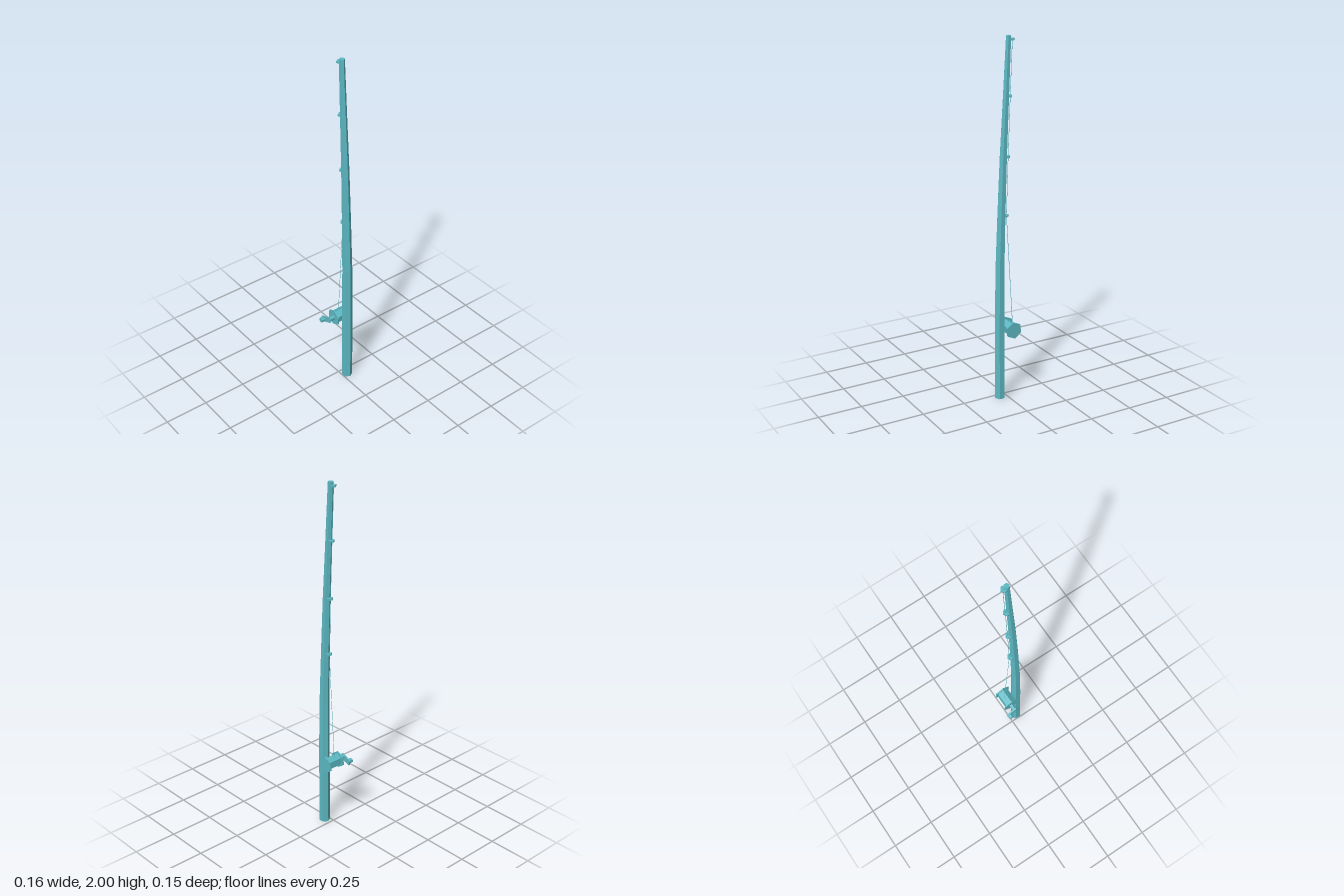
import * as THREE from 'three';

const X = 0.029; // rod centre line

export function createModel() {
  const model = new THREE.Group();
  const material = new THREE.MeshStandardMaterial({ color: 0x5cb8c2, flatShading: true });

  const add = (name, geometry, x = 0, y = 0, z = 0, parent = model) => {
    const mesh = new THREE.Mesh(geometry, material);
    mesh.name = name;
    mesh.position.set(x, y, z);
    parent.add(mesh);
    return mesh;
  };

  // Rod: six-sided tapering pole, bending backwards. Stations are [y, z, radius].
  const stations = [
    [0, 0.042, 0.03], [0.45, 0.042, 0.03], [0.75, 0.04, 0.0275], [1.05, 0.031, 0.0245],
    [1.37, 0.019, 0.0215], [1.69, 0.003, 0.018], [2, -0.012, 0.015],
  ];
  const n = stations.length - 1;
  const rodGeometry = new THREE.CylinderGeometry(1, 1, 1, 6, n);
  const p = rodGeometry.attributes.position;
  for (let i = 0; i < p.count; i++) {
    const [y, z, r] = stations[Math.round((p.getY(i) + 0.5) * n)];
    p.setXYZ(i, p.getX(i) * r, y, p.getZ(i) * r + z);
  }
  rodGeometry.computeVertexNormals();
  add('rod', rodGeometry, X);

  // Line guides: small five-sided rings on the back of the rod
  const guides = [[1.05, 0.008], [1.37, -0.002], [1.69, -0.014], [1.98, -0.026]];
  for (const [y, z] of guides) {
    add('lineGuide', new THREE.CylinderGeometry(0.02, 0.02, 0.01, 5).rotateY(Math.PI), X, y, z);
  }

  // Fishing line: from the spool up through the guides
  const points = [[0.43, -0.038], ...guides.map(([y, z]) => [y, z - 0.008])]
    .map(([y, z]) => new THREE.Vector3(X, y, z));
  const up = new THREE.Vector3(0, 1, 0);
  for (let i = 0; i < points.length - 1; i++) {
    const span = points[i + 1].clone().sub(points[i]);
    const mid = points[i].clone().addScaledVector(span, 0.5);
    const line = add('fishingLine',
      new THREE.CylinderGeometry(0.0015, 0.0015, span.length(), 4), mid.x, mid.y, mid.z);
    line.quaternion.setFromUnitVectors(up, span.normalize());
  }

  // Reel: six-sided pieces lying along x
  const reel = new THREE.Group();
  reel.name = 'reel';
  reel.position.set(0, 0.403, -0.02);
  model.add(reel);
  const drum = (name, x0, x1, radius, y = 0, z = 0) => add(name,
    new THREE.CylinderGeometry(radius, radius, x1 - x0, 6)
      .rotateZ(Math.PI / 2).rotateX(Math.PI / 2 + 0.1),
    (x0 + x1) / 2, y, z, reel);
  drum('spool', -0.012, 0.071, 0.037);
  drum('rightFlange', -0.02, -0.012, 0.048);
  drum('leftFlange', 0.071, 0.079, 0.048);

  // Crank on the right side
  drum('crankShaft', -0.052, -0.02, 0.0145);
  const arm = add('crankArm', new THREE.BoxGeometry(0.009, 0.03, 0.07), -0.0565, -0.008, -0.019, reel);
  arm.rotation.x = -0.4;
  drum('crankKnob', -0.081, -0.061, 0.0145, -0.016, -0.038);

  return model;
}
